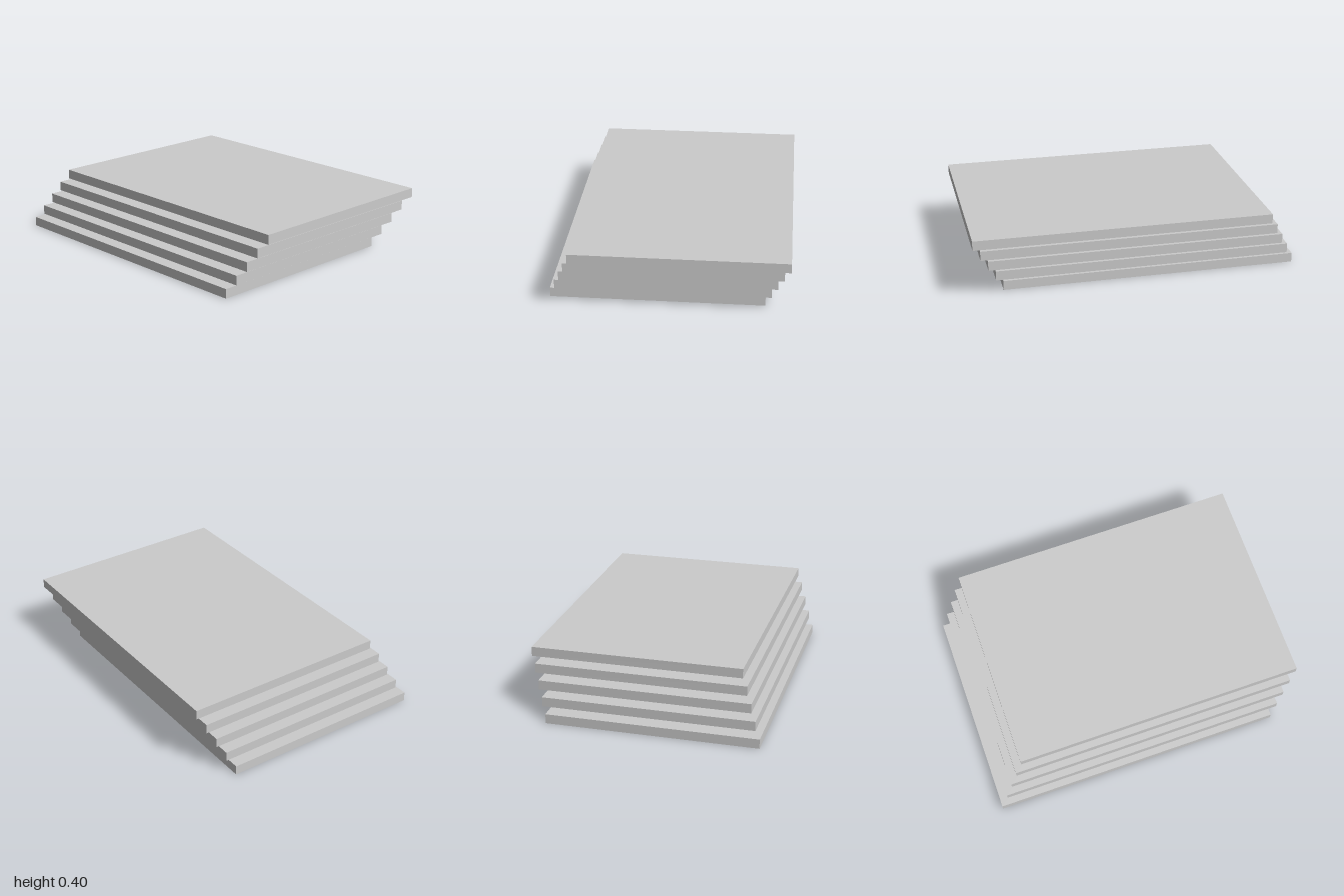
import * as THREE from 'three';

// A stack of five thin slabs, each shifted right, back and up from the one below.
const COUNT = 5;
const SIZE = { x: 1.81, y: 0.058, z: 1.287 };
const STEP = { x: 0.0475, y: 0.0843, z: -0.0358 };

export function createModel() {
  const model = new THREE.Group();
  model.name = 'slabStack';
  const material = new THREE.MeshStandardMaterial({ color: 0xcccccc, flatShading: true });
  const geometry = new THREE.BoxGeometry(SIZE.x, SIZE.y, SIZE.z);

  for (let i = 0; i < COUNT; i++) {
    const offset = i - (COUNT - 1) / 2;
    const slab = new THREE.Mesh(geometry, material);
    slab.name = `slab${i + 1}`;
    slab.position.set(offset * STEP.x, SIZE.y / 2 + i * STEP.y, offset * STEP.z);
    model.add(slab);
  }
  return model;
}
